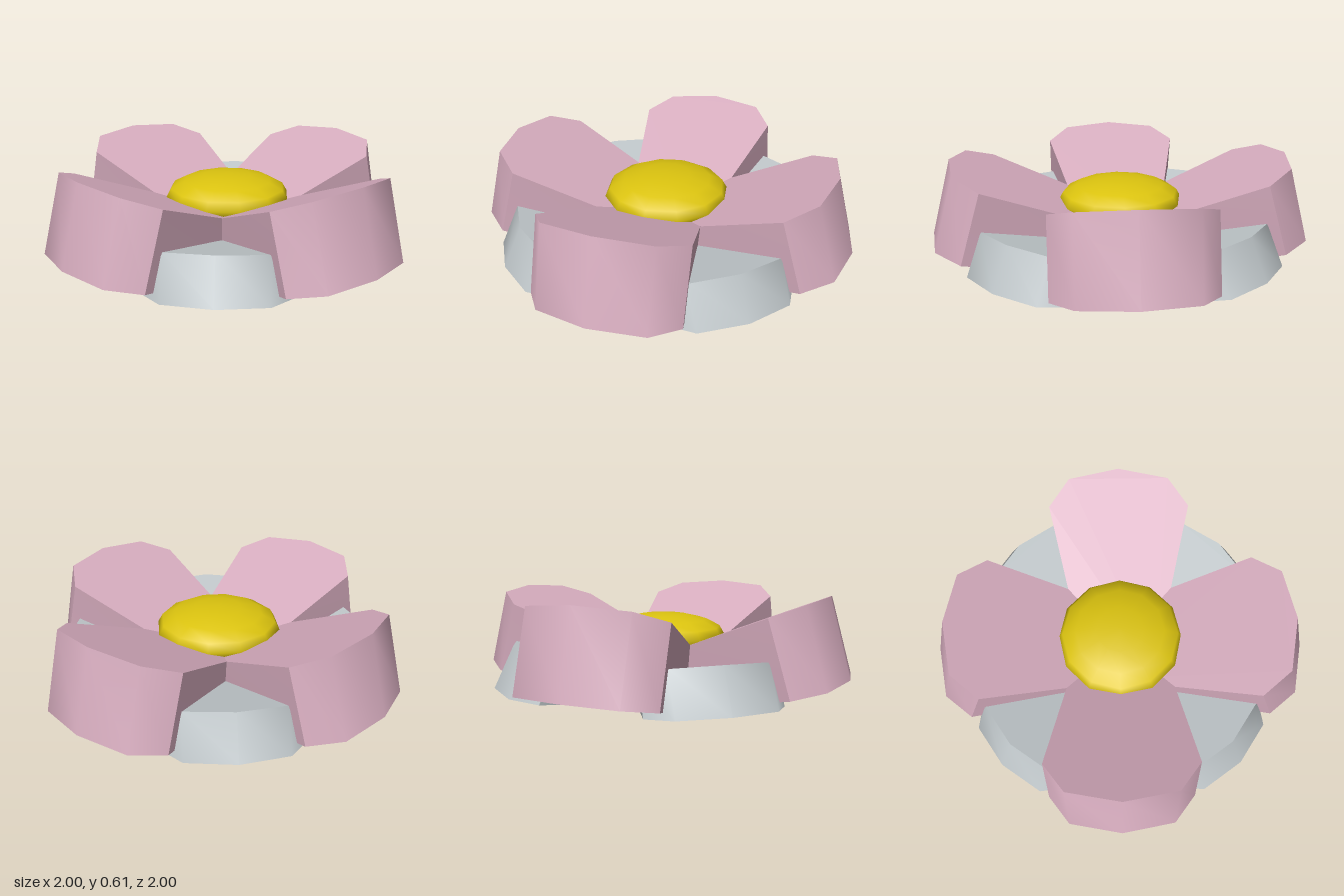
import * as THREE from 'three';
import { toCreasedNormals } from 'three/addons/utils/BufferGeometryUtils.js';

const makeMaterial = (name, color) => {
  const m = new THREE.MeshStandardMaterial({ color });
  m.name = name;
  return m;
};

// Thick petal reaching from the centre towards +z, lifted at its outer end
function petalGeometry() {
  const half = [[0.19, 0], [0.38, 0.81], [0.27, 0.95]];
  const outline = [
    ...half,
    [0, 1],
    ...half.map(([w, r]) => [-w, r]).reverse(),
  ].map(([w, r]) => new THREE.Vector2(w, r));
  const geo = new THREE.ExtrudeGeometry(new THREE.Shape(outline), { depth: 1, bevelEnabled: false });

  // Lay the outline flat, slope both faces and lean the rim inwards
  const pos = geo.attributes.position;
  for (let i = 0; i < pos.count; i++) {
    const top = pos.getZ(i) > 0.5;
    const r = pos.getY(i) - (top ? 0.11 : 0);
    pos.setXYZ(i, -pos.getX(i), top ? 0.263 + 0.39 * r : 0.21 * r, r);
  }
  return toCreasedNormals(geo, 0.82);
}

export function createModel() {
  const pink = makeMaterial('petal pink', 0xd6acbe);
  const gray = makeMaterial('pale gray', 0xc0c7ca);
  const yellow = makeMaterial('centre yellow', 0xdcc40f);

  const flower = new THREE.Group();
  flower.name = 'flower';
  const petal = petalGeometry();

  // Ring of four petals
  function petalRing(name, material, turn) {
    const ring = new THREE.Group();
    ring.name = name + 's';
    for (let i = 0; i < 4; i++) {
      const mesh = new THREE.Mesh(petal, material);
      mesh.name = name;
      mesh.rotation.y = turn + (i * Math.PI) / 2;
      ring.add(mesh);
    }
    flower.add(ring);
    return ring;
  }

  petalRing('upperPetal', pink, 0);

  // Lower petals: smaller, flatter and turned between the upper ones
  const lower = petalRing('lowerPetal', gray, Math.PI / 4);
  lower.scale.set(0.9, 0.52, 0.9);
  lower.position.y = 0.03;

  // Domed flower centre
  const centre = new THREE.Mesh(new THREE.SphereGeometry(1, 12, 8), yellow);
  centre.name = 'flowerCentre';
  centre.scale.set(0.33, 0.115, 0.33);
  centre.position.y = 0.375;
  flower.add(centre);

  return flower;
}
